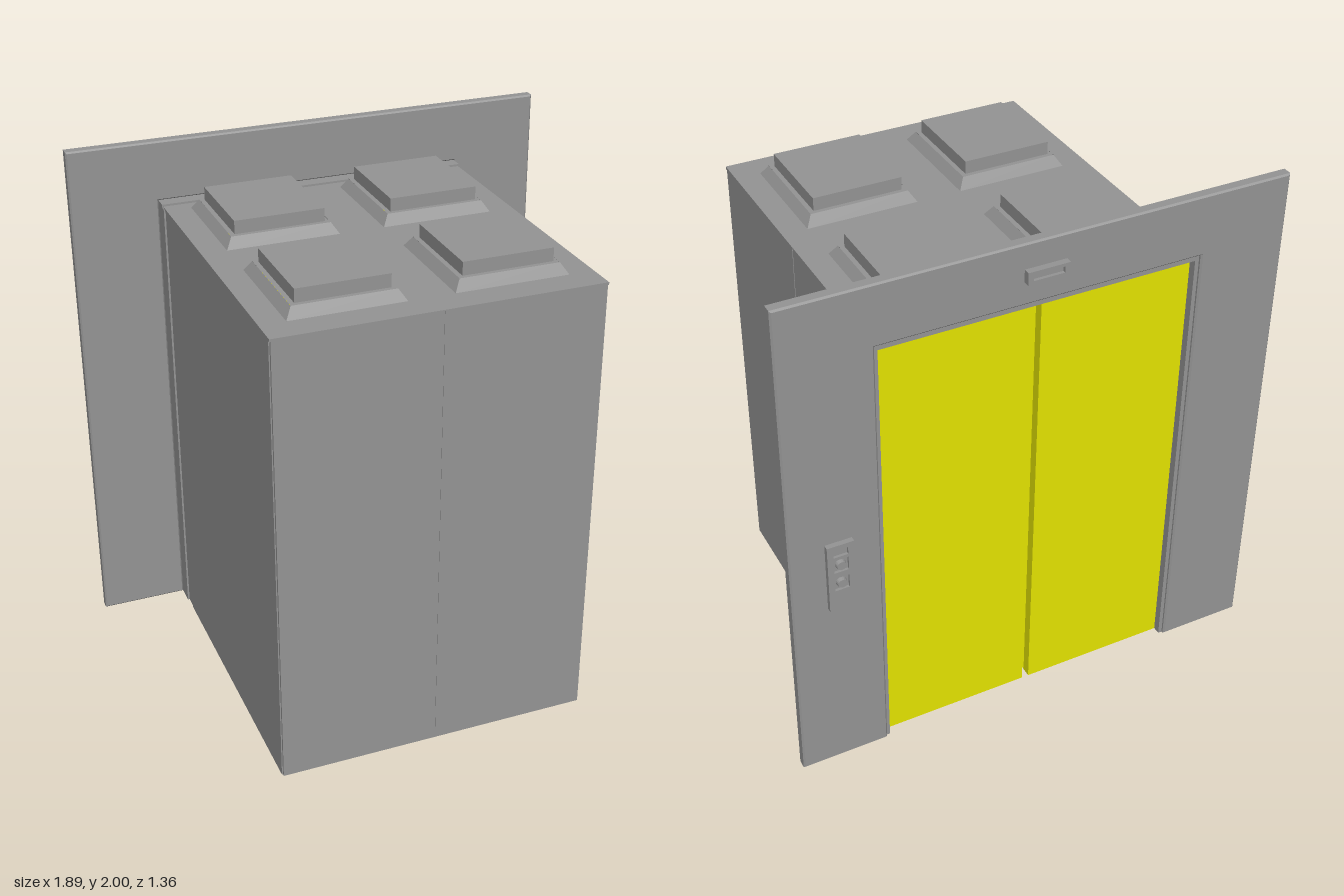
import * as THREE from 'three';

const grey = new THREE.MeshStandardMaterial({ color: 0x959595, flatShading: true, side: THREE.DoubleSide });
const yellow = new THREE.MeshStandardMaterial({ color: 0xe6e600, flatShading: true });
const green = new THREE.MeshStandardMaterial({ color: 0x00c020 });

export function createModel() {
  const model = new THREE.Group();
  model.name = 'elevator';

  const add = (name, geometry, material = grey) => {
    const mesh = new THREE.Mesh(geometry, material);
    mesh.name = name;
    model.add(mesh);
    return mesh;
  };
  // Box given by its limits on each axis
  const box = (name, [x0, x1], [y0, y1], [z0, z1], material) => {
    const mesh = add(name, new THREE.BoxGeometry(x1 - x0, y1 - y0, z1 - z0), material);
    mesh.position.set((x0 + x1) / 2, (y0 + y1) / 2, (z0 + z1) / 2);
  };
  const rect = (Kind, x0, x1, y0, y1) => {
    const s = new Kind();
    s.moveTo(x0, y0);
    s.lineTo(x1, y0);
    s.lineTo(x1, y1);
    s.lineTo(x0, y1);
    s.closePath();
    return s;
  };

  // Landing wall with bevelled edges and a doorway open at the floor
  const W = 0.945, D = 0.608, H = 1.768, B = 0.006;
  const outline = [[-W, 0], [-D, 0], [-D, H], [D, H], [D, 0], [W, 0], [W, 2], [-W, 2]];
  const wall = new THREE.ExtrudeGeometry(
    new THREE.Shape(outline.map(([x, y]) => new THREE.Vector2(x, y))),
    { depth: 0.045 - 2 * B, bevelThickness: B, bevelSize: B, bevelOffset: -B, bevelSegments: 1 });
  add('landingWall', wall).position.z = -0.655 + B;

  // Cab walls, open underneath, stepping in slightly towards the doorway
  box('frontWall', [-0.601, 0.601], [0, 1.758], [0.667, 0.677]);
  for (const s of [-1, 1]) {
    const span = (a, b) => (s > 0 ? [a, b] : [-b, -a]);
    box('sideWall', span(0.595, 0.605), [0, 1.758], [-0.48, 0.667]);
    box('doorJamb', span(s > 0 ? 0.41 : 0.57, 0.602), [0, 1.758], [-0.54, -0.48]);
    box('doorPost', span(0.593, 0.609), [0, 1.758], [-0.642, -0.54]);
  }
  box('doorHeader', [-0.57, 0.41], [1.66, 1.758], [-0.54, -0.48]);
  box('doorLintel', [-0.609, 0.609], [1.745, 1.77], [-0.642, -0.56]);

  // Panel joints
  box('frontJoint', [-0.001, 0.001], [0, 1.758], [0.665, 0.679]);
  box('sideJoint', [0.593, 0.607], [0, 1.758], [0.026, 0.028]);

  // Sliding doors with a central groove
  box('rightDoor', [-0.593, -0.014], [0, 1.745], [-0.612, -0.57], yellow);
  box('leftDoor', [0.014, 0.593], [0, 1.745], [-0.612, -0.57], yellow);
  box('doorSeal', [-0.014, 0.014], [0.01, 1.745], [-0.575, -0.57], yellow);

  // Roof with four recessed light housings
  const roof = rect(THREE.Shape, -0.605, 0.605, -0.677, 0.612);
  for (const x of [-0.298, 0.298]) {
    for (const z of [-0.288, 0.345]) {
      roof.holes.push(rect(THREE.Path, x - 0.2, x + 0.2, -z - 0.21, -z + 0.21));

      // Sloped collar, a four-sided frustum
      const collar = new THREE.CylinderGeometry(0.88 * Math.SQRT2, Math.SQRT2, 0.04, 4, 1, true);
      collar.rotateY(Math.PI / 4);
      collar.scale(0.213, 1, 0.225);
      add('lightCollar', collar).position.set(x, 1.781, z);

      const ledge = rect(THREE.Shape, x - 0.187, x + 0.187, -z - 0.198, -z + 0.198);
      ledge.holes.push(rect(THREE.Path, x - 0.165, x + 0.165, -z - 0.177, -z + 0.177));
      const ledgeGeo = new THREE.ShapeGeometry(ledge);
      ledgeGeo.rotateX(-Math.PI / 2);
      add('lightLedge', ledgeGeo).position.y = 1.801;
      box('lightBox', [x - 0.17, x + 0.17], [1.802, 1.852], [z - 0.183, z + 0.183]);
    }
  }
  const roofGeo = new THREE.ExtrudeGeometry(roof, { depth: 0.01, bevelEnabled: false });
  roofGeo.rotateX(-Math.PI / 2);
  add('roof', roofGeo).position.y = 1.752;

  // Handrails inside the cab
  const rail = (a, b) => {
    const path = new THREE.LineCurve3(new THREE.Vector3(...a), new THREE.Vector3(...b));
    add('handrail', new THREE.TubeGeometry(path, 1, 0.016, 10), green);
  };
  rail([-0.55, 0.545, 0.62], [0.55, 0.545, 0.62]);
  for (const s of [-1, 1]) rail([s * 0.55, 0.545, 0.42], [s * 0.55, 0.545, -0.4]);

  // Framed plates on the landing wall
  const framed = (name, [x0, x1], [y0, y1], z, depth, windows) => {
    const shape = rect(THREE.Shape, x0, x1, y0, y1);
    for (const w of windows) shape.holes.push(rect(THREE.Path, ...w));
    add(name, new THREE.ExtrudeGeometry(shape, { depth, bevelEnabled: false })).position.z = z;
  };

  // Call panel, set through the wall, with two buttons and a small display
  box('callPanelBody', [0.715, 0.815], [0.745, 1.03], [-0.665, -0.605]);
  const slots = [0.86, 0.94].map(y => [0.738, 0.792, y - 0.028, y + 0.028]);
  framed('callPanelFace', [0.715, 0.815], [0.745, 1.03], -0.675, 0.01,
    [...slots, [0.738, 0.792, 0.98, 1.01]]);
  for (const y of [0.86, 0.94]) {
    const button = new THREE.CylinderGeometry(0.017, 0.02, 0.016, 16);
    button.rotateX(-Math.PI / 2);
    add('callButton', button).position.set(0.765, y, -0.672);
  }

  // Floor indicator above the doorway
  box('indicatorBody', [-0.078, 0.078], [1.858, 1.905], [-0.668, -0.654]);
  framed('indicatorFrame', [-0.078, 0.078], [1.858, 1.905], -0.68, 0.012, [[-0.058, 0.058, 1.87, 1.893]]);

  return model;
}
